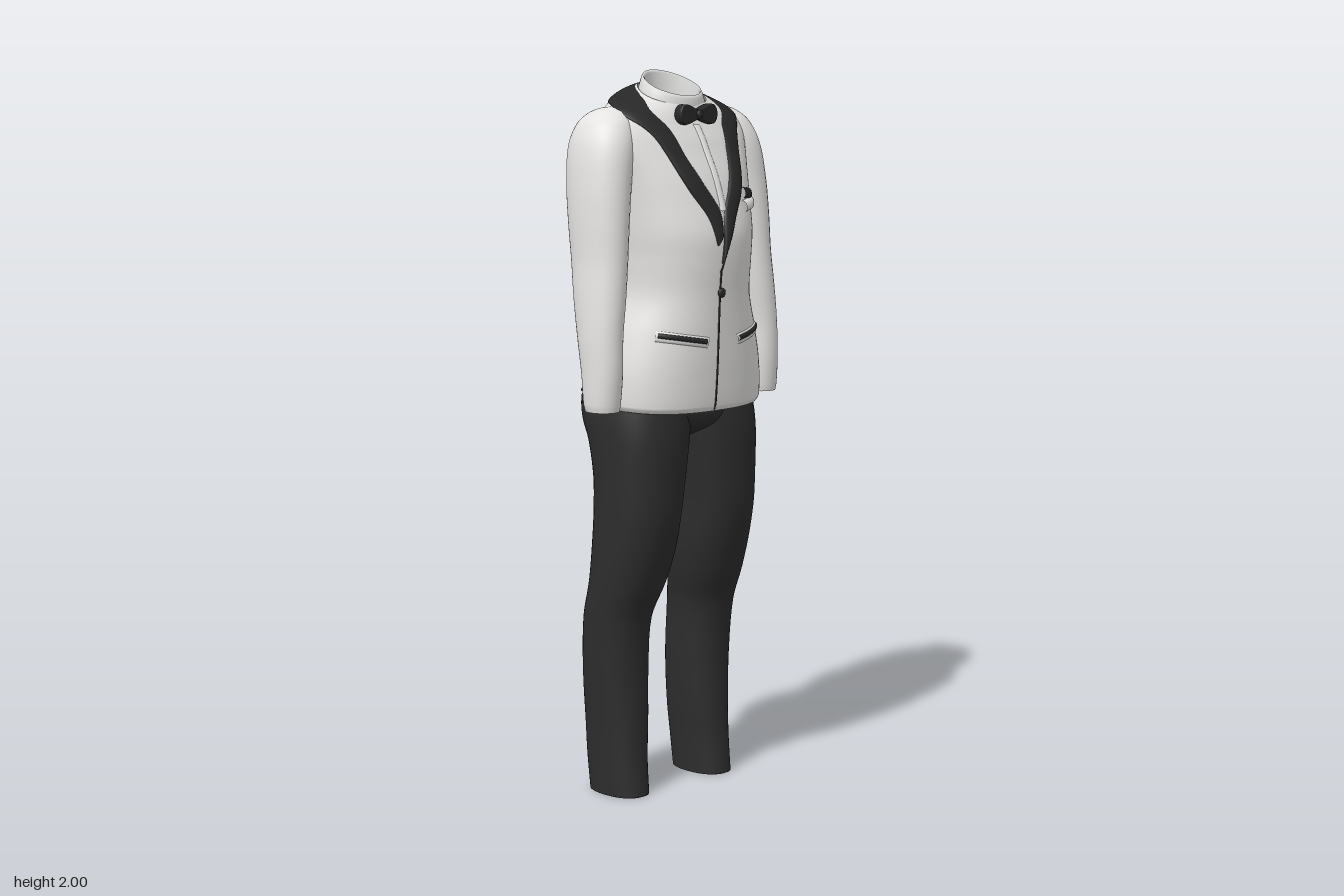
import * as THREE from 'three';

const mat = (name, color) => {
  const m = new THREE.MeshStandardMaterial({ color, side: THREE.DoubleSide });
  m.name = name;
  return m;
};

// Smooth interpolation of cross-section rows, keyed by height in column 0
function rowAt(rows, y) {
  let i = 0;
  while (i < rows.length - 2 && y > rows[i + 1][0]) i++;
  const a = rows[i], b = rows[i + 1];
  const p = rows[Math.max(i - 1, 0)], q = rows[Math.min(i + 2, rows.length - 1)];
  const h = b[0] - a[0], t = THREE.MathUtils.clamp((y - a[0]) / h, 0, 1);
  const t2 = t * t, t3 = t2 * t;
  return a.map((_, k) => {
    const m0 = (b[k] - p[k]) / (b[0] - p[0]) * h, m1 = (q[k] - a[k]) / (q[0] - a[0]) * h;
    return (2 * t3 - 3 * t2 + 1) * a[k] + (t3 - 2 * t2 + t) * m0 + (3 * t2 - 2 * t3) * b[k] + (t3 - t2) * m1;
  });
}

// Point on a body of rows [y, centreX, radiusX, centreZ, front, back, power]; 0 deg is +x, 90 is the front
function bodyPoint(rows, deg, y, off = 0, tilt = () => 0) {
  const [, cx, rx, cz, f, b, n] = rowAt(rows, y);
  const c = Math.cos(deg * Math.PI / 180), s = Math.sin(deg * Math.PI / 180);
  const r = (Math.abs(c / rx) ** n + Math.abs(s / (s > 0 ? f : b)) ** n) ** (-1 / n) + off;
  const z = cz + r * s;
  return [cx + r * c, y - tilt(y) * z, z];
}

// Grid surface from fn(u, v), optionally closed around u
function grid(nu, nv, fn, closed = false) {
  const pos = [], idx = [], cols = closed ? nu : nu + 1;
  for (let j = 0; j <= nv; j++) for (let i = 0; i < cols; i++) pos.push(...fn(i / nu, j / nv));
  for (let j = 0; j < nv; j++) for (let i = 0; i < nu; i++) {
    const a = j * cols + i, b = j * cols + (i + 1) % cols;
    idx.push(a, a + cols, b, b, a + cols, b + cols);
  }
  const g = new THREE.BufferGeometry();
  g.setAttribute('position', new THREE.Float32BufferAttribute(pos, 3));
  g.setIndex(idx);
  g.computeVertexNormals();
  return g;
}

function loft(rows, tilt, sides = 64, steps = 5) {
  const n = rows.length - 1;
  return grid(sides, n * steps, (u, v) => {
    const i = Math.min(Math.floor(v * n + 1e-6), n - 1);
    const y = THREE.MathUtils.lerp(rows[i][0], rows[i + 1][0], v * n - i);
    return bodyPoint(rows, u * 360, y, 0, tilt);
  }, true);
}

// Jacket: [y, cx, half width, cz, front, back, power]
const torso = [
  [1.1, 0.25, 0.175, 0.192, 2.5], [1.115, 0.258, 0.182, 0.2, 2.5], [1.2, 0.255, 0.19, 0.17, 2.4],
  [1.3, 0.233, 0.195, 0.125, 2.3], [1.4, 0.2, 0.2, 0.1, 2.3], [1.5, 0.2, 0.208, 0.1, 2.3],
  [1.57, 0.207, 0.207, 0.112, 2.3], [1.65, 0.215, 0.185, 0.13, 2.3], [1.72, 0.225, 0.16, 0.147, 2.3],
  [1.8, 0.24, 0.12, 0.155, 2.3], [1.86, 0.235, 0.095, 0.142, 2.2], [1.9, 0.195, 0.08, 0.12, 2.1],
  [1.935, 0.105, 0.068, 0.092, 2],
].map(([y, w, f, b, n]) => [y, 0, w, 0, f, b, n]);
const torsoTilt = y => 0.4 * THREE.MathUtils.smoothstep(y, 1.8, 1.935) + 0.08 * (1 - THREE.MathUtils.smoothstep(y, 1.1, 1.2));
const onTorso = (deg, y, off) => bodyPoint(torso, deg, y, off, torsoTilt);

// Angle on the jacket front for a given x
function degAt(x, y) {
  let lo = 0, hi = 180;
  for (let i = 0; i < 30; i++) {
    const mid = (lo + hi) / 2;
    if (onTorso(mid, y, 0)[0] > x) lo = mid; else hi = mid;
  }
  return lo;
}

// Cloth strip lying on the jacket between two edges of [deg, y] points
function strip(edgeA, edgeB, height, nu = 12, nv = 60, base = -0.003) {
  const curve = e => new THREE.CatmullRomCurve3(e.map(([d, y]) => new THREE.Vector3(d / 100, y, 0)));
  const a = curve(edgeA), b = curve(edgeB);
  return grid(nu, nv, (u, v) => {
    const p = a.getPoint(v).lerp(b.getPoint(v), u);
    return onTorso(p.x * 100, p.y, base + (height - base) * Math.max(0, Math.sin(Math.PI * u)) ** 0.4);
  });
}

// Straight strip on the front from (x0, y0) to (x1, y1)
function plate(x0, y0, x1, y1, width, height) {
  const len = Math.hypot(x1 - x0, y1 - y0), dx = -(y1 - y0) / len * width / 2, dy = (x1 - x0) / len * width / 2;
  const edge = s => Array.from({ length: 6 }, (_, i) => {
    const x = x0 + (x1 - x0) * i / 5 + s * dx, y = y0 + (y1 - y0) * i / 5 + s * dy;
    return [degAt(x, y), y];
  });
  return strip(edge(-1), edge(1), height, 8, 24);
}

export function createModel() {
  const group = new THREE.Group();
  const white = mat('jacketCloth', 0xe4e3e1), shirt = mat('shirtCloth', 0xe0e0df);
  const black = mat('trouserCloth', 0x2d2d2d), satin = mat('satin', 0x272727);
  const add = (name, geo, m) => {
    const mesh = new THREE.Mesh(geo, m);
    mesh.name = name;
    group.add(mesh);
    return mesh;
  };

  add('jacketBody', loft(torso, torsoTilt, 96, 6), white);

  // Sleeves and trouser legs
  const sleeve = [
    [1.1, 0.302, 0.043, 0.038, 0.048], [1.12, 0.302, 0.047, 0.037, 0.052], [1.2, 0.3, 0.05, 0.035, 0.06],
    [1.3, 0.297, 0.053, 0.025, 0.069], [1.4, 0.286, 0.059, 0.012, 0.08], [1.5, 0.275, 0.062, 0, 0.088],
    [1.6, 0.268, 0.067, -0.01, 0.095], [1.7, 0.258, 0.072, -0.02, 0.1], [1.8, 0.24, 0.075, -0.03, 0.1],
    [1.86, 0.222, 0.066, -0.035, 0.082], [1.89, 0.207, 0.045, -0.038, 0.055], [1.902, 0.2, 0.02, -0.04, 0.025],
    [1.905, 0.2, 0.002, -0.04, 0.002],
  ];
  const leg = [
    [0, 0.225, 0.1, 0.045, -0.145], [0.1, 0.228, 0.095, 0.035, -0.155], [0.2, 0.232, 0.085, 0.03, -0.16],
    [0.35, 0.243, 0.077, 0.025, -0.16], [0.5, 0.25, 0.073, 0.037, -0.15], [0.6, 0.253, 0.05, 0.075, -0.13],
    [0.7, 0.255, 0.035, 0.105, -0.12], [0.8, 0.255, 0.03, 0.125, -0.115], [0.9, 0.256, 0.018, 0.132, -0.117],
    [1, 0.258, 0.003, 0.137, -0.14], [1.06, 0.258, -0.01, 0.135, -0.17], [1.12, 0.25, -0.02, 0.13, -0.18],
    [1.2, 0.225, -0.02, 0.125, -0.15],
  ];
  for (const s of [1, -1]) {
    const side = s > 0 ? 'left' : 'right';
    const arm = sleeve.map(([y, cx, rx, cz, rz]) => [y, s * cx, rx, cz, rz, rz, 2.1]);
    add(side + 'Sleeve', loft(arm, undefined, 40), white);
    for (let i = 0; i < 3; i++) {
      const b = add(side + 'CuffButton', new THREE.SphereGeometry(0.005, 10, 8), satin);
      b.position.set(...bodyPoint(arm, s > 0 ? -60 : 240, 1.125 + i * 0.016));
    }
    const legRows = leg.map(([y, o, i, f, b]) => [y, s * (o + i) / 2, (o - i) / 2, (f + b) / 2, (f - b) / 2, (f - b) / 2, 2.3]);
    add(side + 'TrouserLeg', loft(legRows, undefined, 48), black);
    add(side + 'LegEnd', grid(48, 1, (u, v) => {
      const p = bodyPoint(legRows, u * 360, 0);
      return [THREE.MathUtils.lerp(legRows[0][1], p[0], v), 0.003, THREE.MathUtils.lerp(legRows[0][3], p[2], v)];
    }, true), black);

    // Side vents at the back hem
    const vent = d => [[-25, 1.28], [-27, 1.22], [-30, 1.115]].map(([a, y]) => [s > 0 ? a + d : 180 - a - d, y]);
    add(side + 'Vent', strip(vent(-0.8), vent(0.8), 0.003, 6, 20), satin);

    // Hip pockets
    add(side + 'HipPocketWelt', plate(s * 0.055, 1.277, s * 0.19, 1.3, 0.034, 0.004), white);
    add(side + 'HipPocket', plate(s * 0.06, 1.28, s * 0.185, 1.302, 0.018, 0.007), satin);
  }

  // Trouser seat joining the legs
  add('trouserSeat', loft([
    [1.0, 0, 0.02, -0.01, 0.06, 0.06, 2], [1.04, 0, 0.13, -0.01, 0.13, 0.125, 2.2],
    [1.1, 0, 0.225, -0.01, 0.142, 0.165, 2.4], [1.2, 0, 0.22, -0.01, 0.135, 0.14, 2.4],
  ]), black);

  // Lapels running round the neck to the centre back
  const outerTop = [[59, 1.68], [37, 1.79], [18, 1.868], [-5, 1.893], [-40, 1.884], [-60, 1.876], [-90, 1.873]];
  const innerTop = [[75, 1.7], [56, 1.79], [40, 1.87], [15, 1.922], [-5, 1.933], [-40, 1.933], [-60, 1.933], [-90, 1.933]];
  const outerL = [[97, 1.465], [80, 1.595], ...outerTop];
  const innerL = [[95.5, 1.49], ...innerTop.slice(0, 3), ...innerTop.slice(3)];
  innerL.splice(1, 0, [91, 1.615]);
  innerL.splice(7, 1);
  const outerR = [[80, 1.535], [74, 1.605], ...outerTop];
  const innerR = [[86, 1.57], [87, 1.625], ...innerL.slice(2)];
  const flip = e => e.map(([d, y]) => [180 - d, y]);
  add('leftLapel', strip(outerL, innerL, 0.01, 14, 90), satin);
  add('rightLapel', strip(flip(outerR), flip(innerR), 0.008, 14, 90), satin);

  // Shirt front, placket and collar
  const v = innerL.slice(1, 5);
  add('shirtFront', strip(v, flip(v), 0.002, 24, 30, 0.001), shirt);
  add('placket', plate(0, 1.63, 0, 1.88, 0.026, 0.006), shirt);
  const collar = [
    [0.1, 0.068, 0.09, 1.905, 0.4], [0.1, 0.07, 0.09, 1.93, 0.43], [0.09, 0.067, 0.085, 1.955, 0.47],
    [0.085, 0.064, 0.081, 1.963, 0.47], [0.08, 0.061, 0.076, 1.957, 0.47], [0.08, 0.06, 0.075, 1.89, 0.4],
  ];
  add('shirtCollar', grid(48, collar.length - 1, (u, w) => {
    const [rx, f, b, y, k] = collar[Math.round(w * (collar.length - 1))];
    const a = u * Math.PI * 2, z = Math.sin(a) * (Math.sin(a) > 0 ? f : b);
    return [Math.cos(a) * rx, y - k * z, z];
  }, true), shirt);

  // Bow tie
  const bow = new THREE.Shape();
  bow.moveTo(0, 0.009);
  bow.bezierCurveTo(0.02, 0.012, 0.035, 0.028, 0.055, 0.023);
  bow.bezierCurveTo(0.07, 0.015, 0.07, -0.015, 0.055, -0.022);
  bow.bezierCurveTo(0.035, -0.026, 0.02, -0.012, 0, -0.009);
  bow.bezierCurveTo(-0.02, -0.012, -0.035, -0.026, -0.055, -0.022);
  bow.bezierCurveTo(-0.07, -0.015, -0.07, 0.015, -0.055, 0.023);
  bow.bezierCurveTo(-0.035, 0.028, -0.02, 0.012, 0, 0.009);
  add('bowTie', new THREE.ExtrudeGeometry(bow, { depth: 0.016, bevelSize: 0.004, bevelThickness: 0.006, bevelSegments: 3, curveSegments: 10 }), satin)
    .position.set(0, 1.883, 0.08);
  const knot = add('bowKnot', new THREE.SphereGeometry(0.015, 16, 12), satin);
  knot.position.set(0, 1.883, 0.095);
  knot.scale.set(0.9, 1, 0.95);

  // Front closing edge and button
  add('frontEdge', plate(-0.02, 1.47, -0.018, 1.105, 0.007, 0.003), satin);
  const button = add('frontButton', new THREE.SphereGeometry(0.013, 16, 12), satin);
  button.position.set(-0.016, 1.41, 0.203);
  button.scale.z = 0.6;

  // Breast pocket with folded square
  add('pocketSquare', plate(0.105, 1.672, 0.2, 1.662, 0.032, 0.007), satin);
  add('breastPocketWelt', plate(0.092, 1.636, 0.208, 1.646, 0.034, 0.011), white);
  return group;
}
